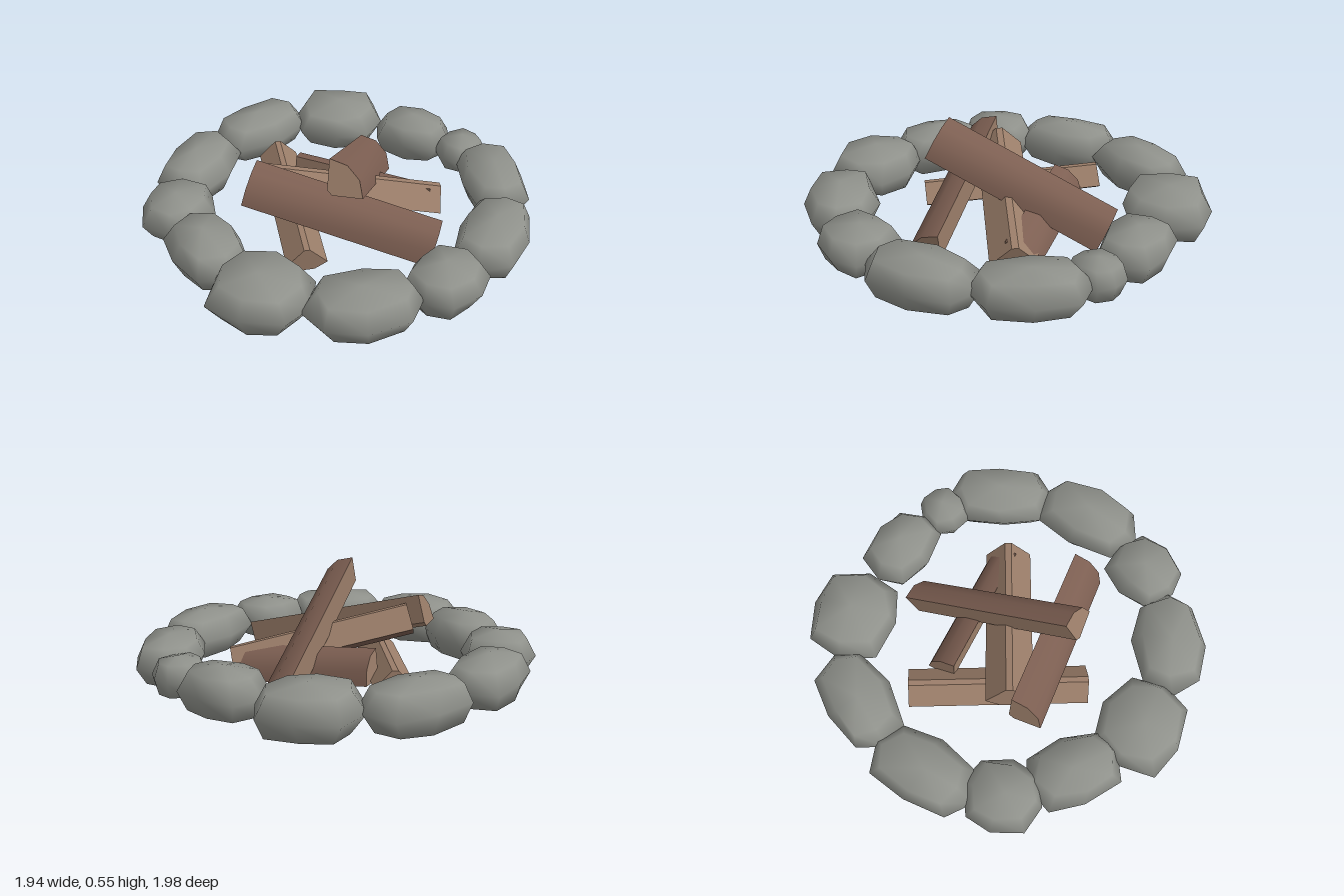
import * as THREE from 'three';
import { mergeVertices, toCreasedNormals } from 'three/addons/utils/BufferGeometryUtils.js';

const mat = (name, color) => {
  const m = new THREE.MeshStandardMaterial({ color });
  m.name = name;
  return m;
};

// Small seeded generator for the stone irregularities
function seeded(seed) {
  let s = seed * 7919 + 17;
  return () => {
    s = (s * 16807) % 2147483647;
    return s / 2147483647;
  };
}

// Rounded low-sided boulder: a coarse sphere, squared off and jittered
function stoneGeometry(halfLength, halfHeight, halfWidth, seed) {
  let geo = new THREE.SphereGeometry(1, 8, 4);
  geo.deleteAttribute('uv');
  geo.deleteAttribute('normal');
  geo = mergeVertices(geo, 1e-3);
  const rand = seeded(seed);
  for (let i = 0; i < 5; i++) rand();
  const bulge = (c) => Math.sign(c) * Math.pow(Math.abs(c), 0.75);
  const jitter = () => (rand() - 0.5) * 0.13;
  const p = geo.attributes.position;
  for (let i = 0; i < p.count; i++) {
    p.setXYZ(
      i,
      (bulge(p.getX(i)) + jitter()) * halfLength,
      (bulge(p.getY(i)) * 0.98 + jitter() * 0.6) * halfHeight,
      (bulge(p.getZ(i)) + jitter()) * halfWidth
    );
  }
  geo.computeVertexNormals();
  return geo;
}

// Split log: quarter wedge with a trimmed core edge, bark on the round side.
// from/to are the end centres; coreAngle is where the core edge points, seen from "to".
function splitLog(name, from, to, radius, coreAngle, materials) {
  const a = new THREE.Vector3(...from);
  const b = new THREE.Vector3(...to);
  const dir = b.clone().sub(a);
  const length = dir.length();
  dir.normalize();
  const side = new THREE.Vector3(0, 1, 0).cross(dir).normalize();
  const up = dir.clone().cross(side);

  const core = THREE.MathUtils.degToRad(coreAngle);
  const cx = Math.cos(core) * radius * 0.58;
  const cy = Math.sin(core) * radius * 0.58;
  const point = (r, t) => {
    const angle = core + Math.PI + t;
    return new THREE.Vector2(cx + Math.cos(angle) * r, cy + Math.sin(angle) * r);
  };
  const q = Math.PI / 4;
  const outline = [point(radius * 0.14, -q)];
  for (let i = 0; i <= 3; i++) outline.push(point(radius, -q + (i * q * 2) / 3));
  outline.push(point(radius * 0.14, q));

  let geo = new THREE.ExtrudeGeometry(new THREE.Shape(outline), {
    depth: length, bevelEnabled: false, steps: 1
  });
  geo = toCreasedNormals(geo, 0.7);

  // Bark on the arc faces, split wood on the flat faces and ends
  geo.clearGroups();
  const p = geo.attributes.position;
  const n = geo.attributes.normal;
  for (let i = 0; i < p.count; i += 3) {
    let bark = Math.abs(n.getZ(i)) < 0.5;
    for (let k = i; k < i + 3; k++) {
      if (Math.hypot(p.getX(k) - cx, p.getY(k) - cy) < radius * 0.95) bark = false;
    }
    geo.addGroup(i, 3, bark ? 0 : 1);
  }
  geo.applyMatrix4(new THREE.Matrix4().makeBasis(side, up, dir).setPosition(a));
  const log = new THREE.Mesh(geo, materials);
  log.name = name;
  return log;
}

export function createModel() {
  const model = new THREE.Group();
  model.name = 'campfire';
  const stone = mat('grey stone', 0x8f918b);
  const wood = [mat('brown bark', 0x7d5f52), mat('split wood', 0x9a7d69)];

  // Ring of stones: x, z, half length, half width, heading in degrees, half height
  const ring = new THREE.Group();
  ring.name = 'stoneRing';
  [
    [-0.30, -0.77, 0.25, 0.23, -15, 0.125],
    [0.14, -0.77, 0.22, 0.165, 4, 0.12],
    [0.44, -0.70, 0.12, 0.13, 30, 0.10],
    [0.67, -0.48, 0.28, 0.17, 59, 0.12],
    [0.80, -0.02, 0.285, 0.175, 90, 0.12],
    [0.69, 0.39, 0.20, 0.18, 105, 0.115],
    [0.40, 0.68, 0.27, 0.185, -31, 0.12],
    [-0.05, 0.775, 0.235, 0.22, 0, 0.122],
    [-0.42, 0.60, 0.245, 0.17, 36, 0.127],
    [-0.70, 0.37, 0.195, 0.18, 75, 0.122],
    [-0.80, -0.02, 0.275, 0.175, 90, 0.12],
    [-0.67, -0.49, 0.28, 0.17, 117, 0.122]
  ].forEach(([x, z, len, wid, heading, tall], i) => {
    const mesh = new THREE.Mesh(stoneGeometry(len, tall, wid, i + 3), stone);
    mesh.name = `stone${i + 1}`;
    mesh.position.set(x, 0.143, z);
    mesh.rotation.y = -THREE.MathUtils.degToRad(heading);
    ring.add(mesh);
  });
  model.add(ring);

  // Pile of split logs
  const logs = new THREE.Group();
  logs.name = 'logPile';
  logs.add(
    splitLog('topLog', [-0.02, 0.09, -0.56], [0.14, 0.475, 0.28], 0.17, 225, wood),
    splitLog('frontLog', [-0.35, 0.335, 0.27], [0.55, 0.11, 0.11], 0.165, -45, wood),
    splitLog('crossLog', [-0.31, 0.31, 0.17], [0.43, 0.095, -0.29], 0.165, 90, wood),
    splitLog('leftLog', [-0.48, 0.14, -0.32], [0.02, 0.085, 0.43], 0.14, 90, wood),
    splitLog('backLog', [-0.31, 0.16, -0.22], [0.40, 0.09, -0.29], 0.145, 225, wood)
  );
  model.add(logs);
  return model;
}
